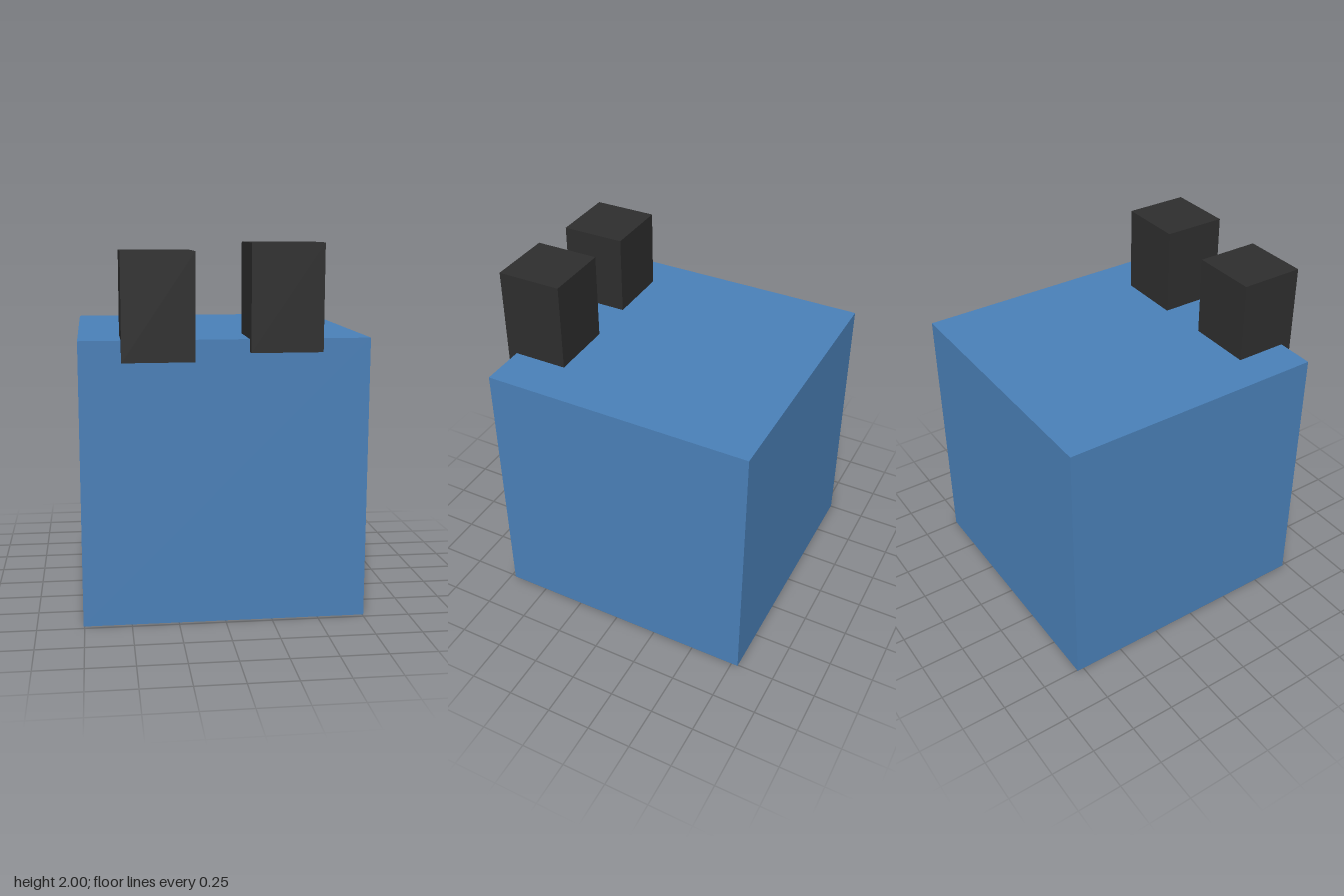
import * as THREE from 'three';

const blue = new THREE.MeshStandardMaterial({ color: 0x4a80b8 });
const black = new THREE.MeshStandardMaterial({ color: 0x2e2e2e });

function addBox(group, name, material, size, center) {
  const mesh = new THREE.Mesh(new THREE.BoxGeometry(...size), material);
  mesh.name = name;
  mesh.position.set(...center);
  group.add(mesh);
}

export function createModel() {
  const model = new THREE.Group();
  model.name = 'blockCreature';

  // Cube body standing on the ground
  addBox(model, 'body', blue, [1.512, 1.512, 1.512], [0, 0.756, -0.032]);

  // Two eye blocks sunk into the top front edge, the left one slightly higher
  const eyeSize = [0.374, 0.554, 0.358];
  addBox(model, 'rightEye', black, eyeSize, [-0.351, 1.682, 0.609]);
  addBox(model, 'leftEye', black, eyeSize, [0.308, 1.723, 0.598]);

  return model;
}
